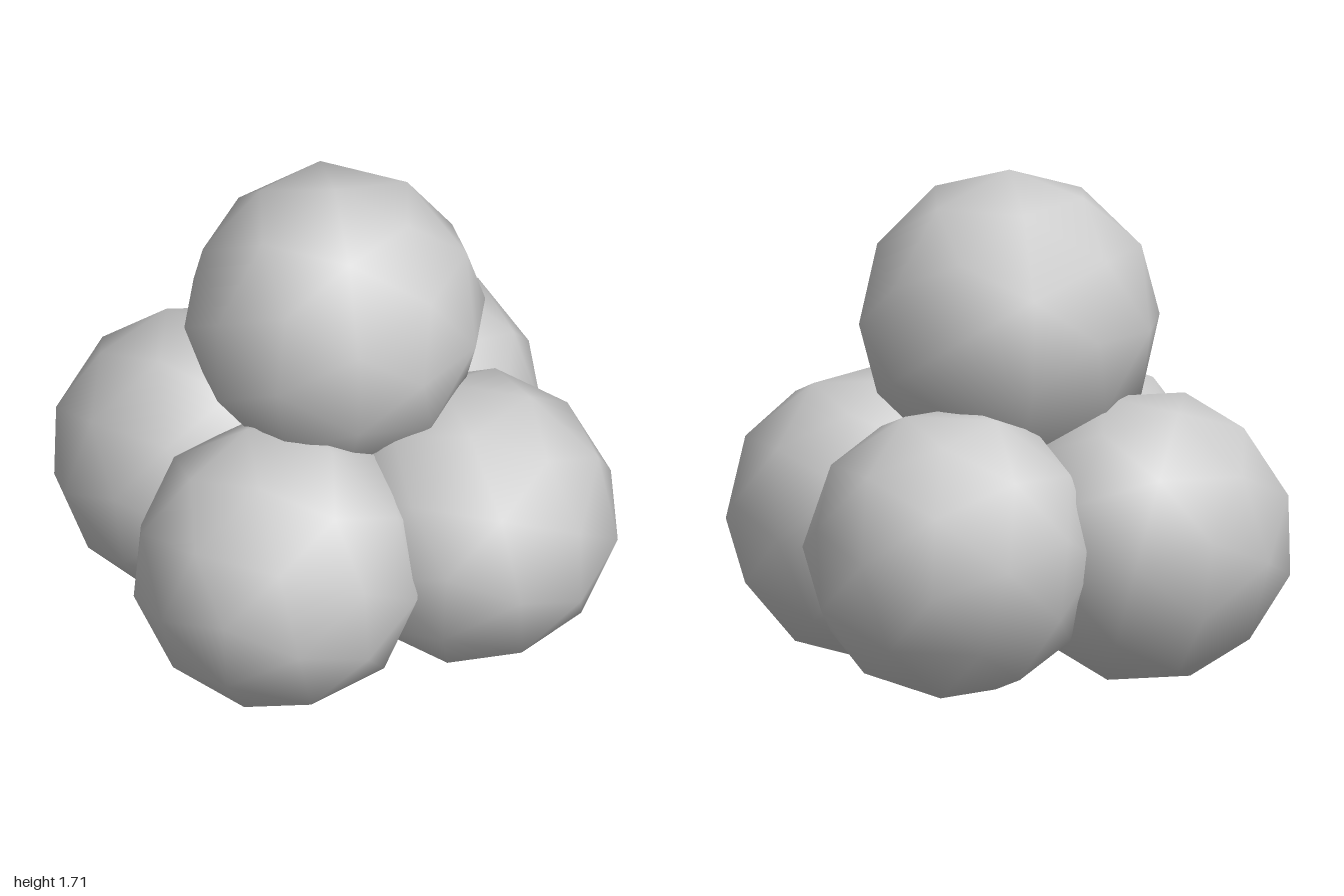
import * as THREE from 'three';

// Pile of four coarse, smooth-shaded balls: four in a ring and one on top
export function createModel() {
  const group = new THREE.Group();
  const material = new THREE.MeshStandardMaterial({ color: 0xcccccc });
  const up = new THREE.Vector3(0, 1, 0);

  // Top ball keeps a vertex at its pole
  const topGeometry = new THREE.IcosahedronGeometry(0.515, 1);

  // Ring balls rest on a facet: turn a facet upward, then a corner toward +z
  const ringRadius = 0.504;
  const ringGeometry = new THREE.IcosahedronGeometry(ringRadius, 1).applyQuaternion(
    new THREE.Quaternion().setFromUnitVectors(new THREE.Vector3(1, 1, 1).normalize(), up));
  const p = ringGeometry.attributes.position;
  let corner = 0;
  for (let i = 0; i < p.count; i++) {
    // a corner just above the equator sits at 0.187 of the radius
    if (Math.abs(p.getY(i) / ringRadius - 0.1876) < 0.01) corner = Math.atan2(p.getX(i), p.getZ(i));
  }
  ringGeometry.rotateY(-corner);

  // Yaw about the upright axis first, then a slight lean about x and z (degrees)
  function addBall(name, geometry, [x, y, z], yaw = 0, leanX = 0, leanZ = 0) {
    const ball = new THREE.Mesh(geometry, material);
    ball.name = name;
    ball.position.set(x, y, z);
    const [rx, ry, rz] = [leanX, yaw, leanZ].map(THREE.MathUtils.degToRad);
    ball.rotation.set(rx, ry, rz, 'XZY');
    group.add(ball);
  }

  addBall('topBall', topGeometry, [0, 1.205, 0]);
  addBall('frontBall', ringGeometry, [0, 0.495, 0.495], 0, 4, -2);
  addBall('backBall', ringGeometry, [0.01, 0.495, -0.505], 15, 4, 0);
  addBall('leftBall', ringGeometry, [0.498, 0.495, 0], 12, 0, -4);
  addBall('rightBall', ringGeometry, [-0.498, 0.495, 0], -12, 0, 4);

  return group;
}
